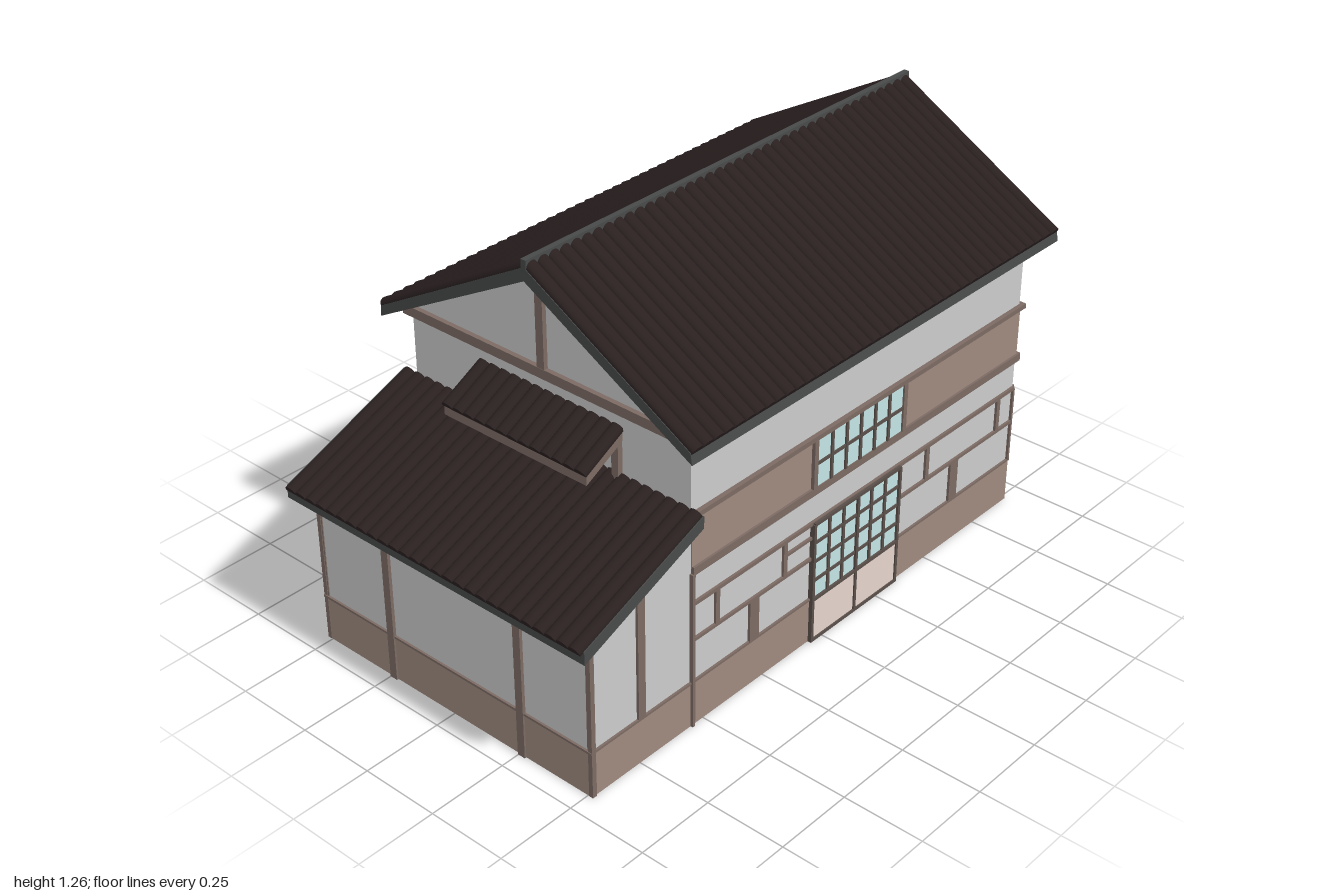
import * as THREE from 'three';

const mat = (color) => new THREE.MeshStandardMaterial({ color });

export function createModel() {
  const root = new THREE.Group();
  const plaster = mat(0xcccccc), board = mat(0x9f8a80), wood = mat(0x7c6b64), glass = mat(0xc4e4e6);
  const doorPanel = mat(0xe6d4cd), tile = mat(0x2a2020), slate = mat(0x484a4a), bar = mat(0x5a4f4a);

  function add(name, geometry, material, parent = root) {
    const mesh = new THREE.Mesh(geometry, material);
    mesh.name = name;
    parent.add(mesh);
    return mesh;
  }
  function box(name, material, [x0, x1], [y0, y1], [z0, z1], parent = root) {
    const g = new THREE.BoxGeometry(Math.abs(x1 - x0), y1 - y0, Math.abs(z1 - z0));
    g.translate((x0 + x1) / 2, (y0 + y1) / 2, (z0 + z1) / 2);
    return add(name, g, material, parent);
  }
  const extrude = (points, depth) => new THREE.ExtrudeGeometry(
    new THREE.Shape(points.map((p) => new THREE.Vector2(...p))), { depth, bevelEnabled: false });
  // Front outline (x, y) pulled along z
  const alongZ = (points, z0, z1) => extrude(points, z1 - z0).translate(0, 0, z0);
  // Side outline (z, y) pulled along x
  const alongX = (points, x0, x1) => extrude(points, x1 - x0).rotateY(-Math.PI / 2).translate(x1, 0, 0);

  // Sheet of round tiles, centred on x, running down towards +z from its top edge
  function tileSheet(width, count, length, slope) {
    const s = new THREE.Shape(), r = width / count / 2;
    s.moveTo(-width / 2, -0.004);
    s.lineTo(width / 2, -0.004);
    for (let i = count - 1; i >= 0; i--) {
      const cx = -width / 2 + r * (2 * i + 1);
      s.lineTo(cx + r, 0);
      s.absellipse(cx, 0, r, 0.017, 0, Math.PI, false, 0);
    }
    return new THREE.ExtrudeGeometry(s, { depth: length, bevelEnabled: false, curveSegments: 8 }).rotateX(slope);
  }

  // Box lying on a wall; a and b run along it (z on the sides, x on front and back)
  function onWall(wall, name, material, a, b, y0, y1, out = 0.008) {
    const planes = { left: 0.51, right: -0.51, back: -0.92, front: 0.93 };
    const p = planes[wall], depth = [p - Math.sign(p) * 0.01, p + Math.sign(p) * out];
    const isSide = wall === 'left' || wall === 'right';
    return box(name, material, isSide ? depth : [a, b], [y0, y1], isSide ? [a, b] : depth);
  }
  // Glazed panel with bars and a frame
  function lattice(wall, name, a, b, y0, y1, columns, rows, frame = 0.012) {
    onWall(wall, name + 'Glass', glass, a, b, y0, y1, 0.009);
    for (let i = 1; i < columns; i++) {
      const c = a + (b - a) * i / columns;
      onWall(wall, name + 'UprightBar', bar, c - 0.005, c + 0.005, y0, y1, 0.014);
    }
    for (let j = 1; j < rows; j++) {
      const c = y0 + (y1 - y0) * j / rows;
      onWall(wall, name + 'CrossBar', bar, a, b, c - 0.005, c + 0.005, 0.013);
    }
    for (const [l, r] of [[a - frame, a], [b, b + frame]]) onWall(wall, name + 'Jamb', wood, l, r, y0, y1, 0.015);
  }

  // Main house walls with gables
  add('mainWalls', alongZ([[-0.51, 0], [0.51, 0], [0.51, 0.93], [0, 1.215], [-0.51, 0.93]], -0.92, 0.545), plaster);
  for (const [z, s] of [[0.545, 1], [-0.92, -1]]) {
    box('gableBeam', wood, [-0.535, 0.535], [0.89, 0.92], [z - s * 0.01, z + s * 0.015]);
    box('gablePost', wood, [-0.017, 0.01], [0.91, 1.2], [z - s * 0.01, z + s * 0.014]);
  }

  // Front annex
  add('annexWalls', alongX([[0.54, 0], [0.93, 0], [0.93, 0.52], [0.54, 0.67]], -0.51, 0.51), plaster);
  onWall('front', 'annexBase', board, -0.515, 0.515, 0, 0.145, 0.004);
  onWall('front', 'annexSill', wood, -0.518, 0.518, 0.142, 0.149, 0.007);
  for (const x of [-0.238, 0.261]) onWall('front', 'annexPost', wood, x - 0.013, x + 0.013, 0, 0.5, 0.01);
  for (const x of [-0.511, 0.511]) onWall('front', 'annexCornerPost', wood, x - 0.007, x + 0.007, 0, 0.5, 0.005);
  for (const w of ['left', 'right']) {
    onWall(w, 'annexSidePost', wood, 0.73, 0.757, 0.145, 0.585);
    onWall(w, 'junctionPost', wood, 0.54, 0.55, 0, 0.5, 0.012);
    onWall(w, 'cornerPost', wood, 0.923, 0.933, 0, 0.5, 0.007);
  }

  // Bands and beams wrapping the sides and back
  for (const w of ['left', 'right', 'back']) {
    const [a, b] = w === 'back' ? [-0.51, 0.51] : [-0.92, 0.545];
    const e = w === 'back' ? 0.51 : 0.925;
    onWall(w, 'baseBoards', board, w === 'back' ? -0.513 : -0.923, w === 'back' ? 0.513 : 0.93, 0, 0.145, 0.004);
    onWall(w, 'baseSill', wood, -e, w === 'back' ? e : 0.93, 0.142, 0.149, 0.007);
    onWall(w, 'upperBoards', board, a, b, 0.515, 0.68, 0.004);
    onWall(w, 'upperBeam', wood, a - 0.014, w === 'back' ? b + 0.014 : b, 0.675, 0.69, 0.014);
    onWall(w, 'floorBeam', wood, a - 0.01, w === 'back' ? b + 0.01 : b, 0.497, 0.522, 0.011);
    onWall(w, 'middleRail', wood, a, b, 0.28, 0.29);
    onWall(w, 'topRail', wood, a, b, 0.396, 0.408);
  }
  for (const w of ['left', 'right']) {
    onWall(w, 'rearCornerPost', wood, -0.922, -0.914, 0.145, 0.4);
    lattice(w, 'upperWindow', -0.34, 0.042, 0.522, 0.675, 6, 2, 0.016);
    for (const z of [0.445, -0.485, -0.84]) onWall(w, 'upperStud', wood, z - 0.008, z + 0.008, 0.285, 0.4);
  }

  // Left side: studs and sliding doors
  onWall('left', 'upperStud', wood, 0.155, 0.171, 0.285, 0.4);
  onWall('left', 'shortRail', wood, 0.045, 0.165, 0.35, 0.359);
  for (const z of [0.292, -0.625]) onWall('left', 'lowerStud', wood, z - 0.019, z + 0.019, 0.145, 0.285);
  lattice('left', 'door', -0.34, 0.04, 0.145, 0.4, 6, 4, 0.008);
  for (const [a, b] of [[-0.34, -0.155], [-0.145, 0.04]]) onWall('left', 'doorPanel', doorPanel, a, b, 0.01, 0.145, 0.012);
  for (const z of [-0.344, -0.15, 0.044]) onWall('left', 'doorStile', bar, z - 0.005, z + 0.005, 0, 0.4, 0.016);
  for (const y of [0.005, 0.145, 0.4]) onWall('left', 'doorRail', bar, -0.345, 0.045, y - 0.005, y + 0.005, 0.016);

  // Right side: long lattice window
  onWall('right', 'upperStud', wood, -0.16, -0.14, 0.285, 0.4);
  lattice('right', 'longWindow', -0.58, 0.26, 0.15, 0.28, 12, 4, 0.04);

  // Back: wide lattice window
  lattice('back', 'backWindow', -0.3, 0.3, 0.15, 0.28, 6, 4, 0.035);
  onWall('back', 'upperStud', wood, -0.018, 0.018, 0.285, 0.4);

  // Main roof
  const mainRoof = new THREE.Group();
  mainRoof.name = 'mainRoof';
  root.add(mainRoof);
  add('roofBoards', alongZ([[-0.57, 0.888], [0, 1.2], [0.57, 0.888], [0.565, 0.922], [0, 1.24], [-0.565, 0.922]],
    -1, 0.61), slate, mainRoof);
  const pitch = Math.atan2(0.318, 0.565);
  for (const s of [1, -1]) {
    const g = tileSheet(1.606, 40, 0.652, pitch).rotateY(s * Math.PI / 2).translate(0, 1.241, -0.195);
    add('roofTiles', g, tile, mainRoof);
  }
  box('ridge', slate, [-0.009, 0.009], [1.22, 1.262], [-1, 0.61], mainRoof);

  // Annex roof
  add('annexRoofBoards', alongX([[0.54, 0.657], [0.985, 0.477], [0.985, 0.517], [0.54, 0.694]], -0.57, 0.55), slate);
  add('annexRoofTiles', tileSheet(1.107, 27, 0.488, Math.atan2(0.177, 0.445)).translate(-0.007, 0.694, 0.543), tile);

  // Small hood above the annex roof
  add('hoodBoards', alongX([[0.54, 0.81], [0.682, 0.735], [0.682, 0.768], [0.54, 0.842]], -0.25, 0.275), wood);
  add('hoodTiles', tileSheet(0.53, 13, 0.162, Math.atan2(0.074, 0.142)).translate(0.0125, 0.842, 0.543), tile);
  for (const x of [-0.238, 0.261]) box('hoodBracket', wood, [x - 0.012, x + 0.012], [0.69, 0.81], [0.54, 0.562]);

  return root;
}
